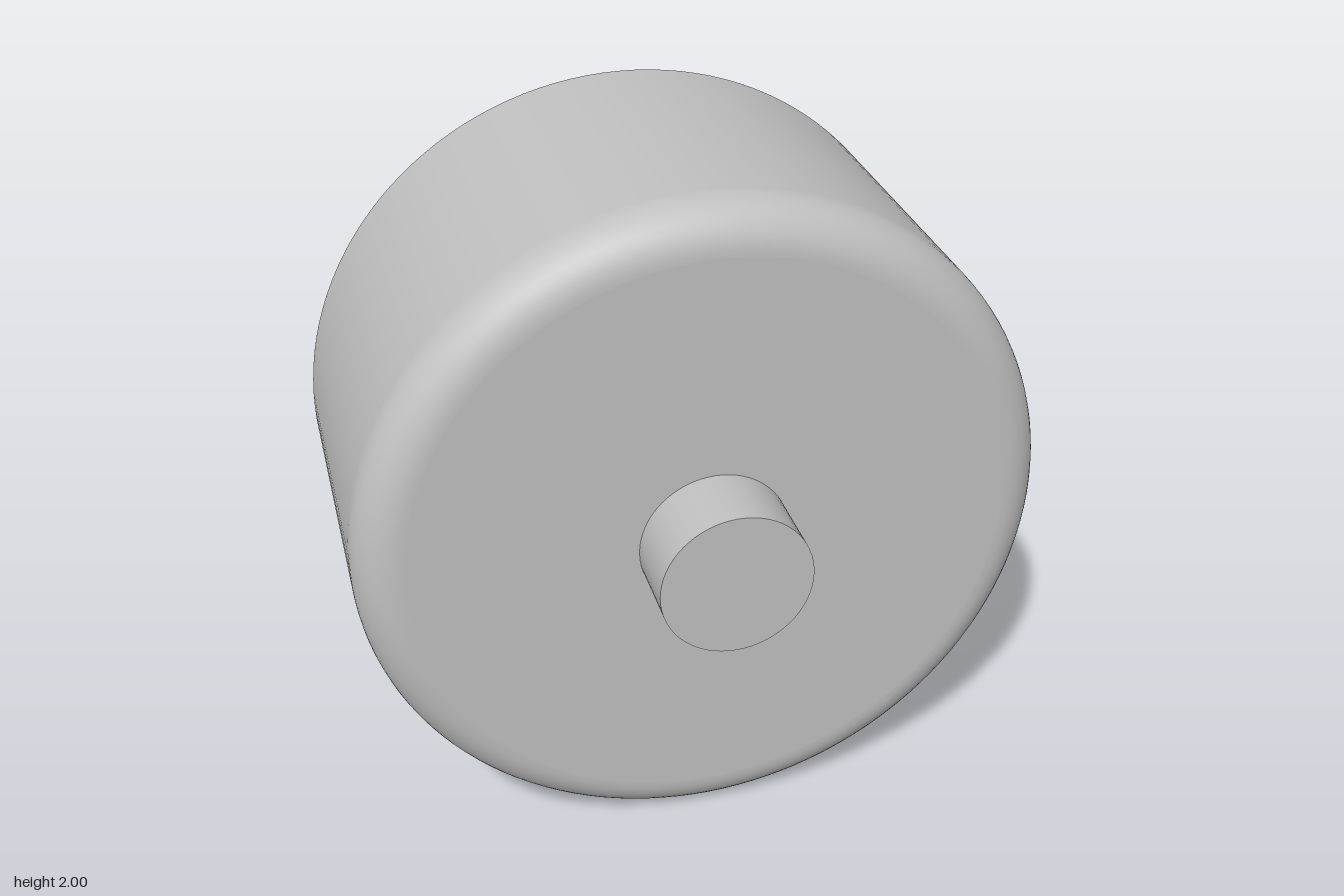
import * as THREE from 'three';

const BACK = -0.65, FACE = 0.43, TIP = 0.65, RADIUS = 1;
const FRONT_FILLET = 0.13, BACK_FILLET = 0.03;

// Quarter-circle fillet points (radius, axial position)
function fillet(r, z, size, from, steps) {
  return Array.from({ length: steps + 1 }, (_, i) => {
    const a = from + (i / steps) * Math.PI / 2;
    return new THREE.Vector2(r + size * Math.cos(a), z + size * Math.sin(a));
  });
}

export function createModel() {
  const group = new THREE.Group();
  group.name = 'roundKnob';
  const grey = new THREE.MeshStandardMaterial({ color: 0xc0c0c0 });
  grey.name = 'light grey';

  // Drum with a small back fillet and a large front fillet;
  // extra points beside each fillet keep the flats evenly shaded
  const backR = RADIUS - BACK_FILLET, frontR = RADIUS - FRONT_FILLET;
  const profile = [
    new THREE.Vector2(0, BACK),
    new THREE.Vector2(backR - 0.005, BACK),
    ...fillet(backR, BACK + BACK_FILLET, BACK_FILLET, -Math.PI / 2, 6),
    new THREE.Vector2(RADIUS, BACK + BACK_FILLET + 0.005),
    new THREE.Vector2(RADIUS, FACE - FRONT_FILLET - 0.005),
    ...fillet(frontR, FACE - FRONT_FILLET, FRONT_FILLET, 0, 12),
    new THREE.Vector2(frontR - 0.005, FACE),
    new THREE.Vector2(0, FACE),
  ];
  const drum = new THREE.Mesh(new THREE.LatheGeometry(profile, 128), grey);
  drum.name = 'drum';
  drum.rotation.x = Math.PI / 2;
  drum.position.y = RADIUS;
  group.add(drum);

  // Short shaft standing out of the front face
  const shaftLength = TIP - FACE + 0.02;
  const shaft = new THREE.Mesh(new THREE.CylinderGeometry(0.217, 0.217, shaftLength, 64), grey);
  shaft.name = 'shaft';
  shaft.rotation.x = Math.PI / 2;
  shaft.position.set(0, RADIUS, TIP - shaftLength / 2);
  group.add(shaft);

  return group;
}
